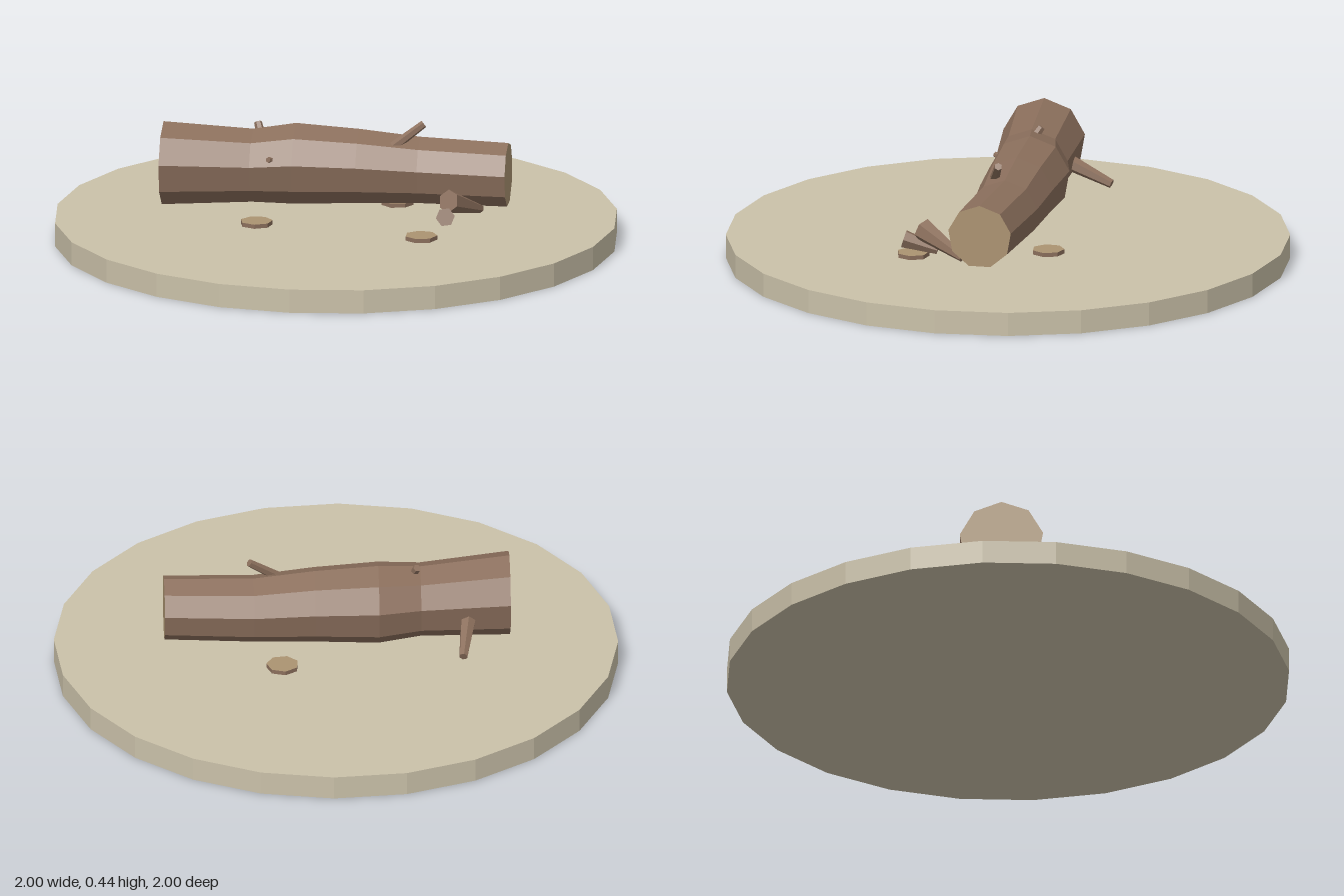
import * as THREE from 'three';

const V = (x, y, z) => new THREE.Vector3(x, y, z);
const SIDES = 9;
// log cross-sections: centre x, y, z and radius
const RINGS = [
  [-0.585, 0.265, 0.19, 0.15],
  [-0.29, 0.259, 0.07, 0.132],
  [-0.155, 0.264, 0.0, 0.146],
  [0.06, 0.261, -0.07, 0.134],
  [0.265, 0.252, -0.14, 0.12],
  [0.573, 0.25, -0.215, 0.115],
];
const ACROSS = V(0.3, 0, 0.954); // horizontal direction across the log

function ringPoint(i, k) {
  const [x, y, z, r] = RINGS[i];
  const a = Math.PI / 2 - (k * 2 * Math.PI) / SIDES;
  return V(x, y, z).addScaledVector(ACROSS, r * Math.cos(a)).add(V(0, r * Math.sin(a), 0));
}

// unshared corners give flat faces
function facets(points) {
  const geometry = new THREE.BufferGeometry().setFromPoints(points);
  geometry.computeVertexNormals();
  return geometry;
}

function flatCylinder(rTop, rBottom, height, sides) {
  const indexed = new THREE.CylinderGeometry(rTop, rBottom, height, sides);
  const geometry = indexed.toNonIndexed();
  geometry.computeVertexNormals();
  return geometry;
}

export function createModel() {
  const model = new THREE.Group();
  const material = (name, color) => {
    const m = new THREE.MeshStandardMaterial({ color });
    m.name = name;
    return m;
  };
  const sand = material('sand', 0xcac1a9);
  const bark = material('bark', 0x8b6f5c);
  const cutWood = material('cut wood', 0xab9371);

  const add = (name, geometry, mat) => {
    const mesh = new THREE.Mesh(geometry, mat);
    mesh.name = name;
    model.add(mesh);
    return mesh;
  };

  // round ground base
  add('groundBase', flatCylinder(1, 1, 0.085, 24), sand).position.y = 0.0425;

  // bent log and its two cut ends
  const skin = [];
  const leftCut = [];
  const rightCut = [];
  const last = RINGS.length - 1;
  const centre = (i) => V(RINGS[i][0], RINGS[i][1], RINGS[i][2]);
  for (let k = 0; k < SIDES; k++) {
    for (let i = 0; i < last; i++) {
      const a = ringPoint(i, k), b = ringPoint(i, k + 1);
      const c = ringPoint(i + 1, k + 1), d = ringPoint(i + 1, k);
      skin.push(a, b, c, a, c, d);
    }
    leftCut.push(centre(0), ringPoint(0, k + 1), ringPoint(0, k));
    rightCut.push(centre(last), ringPoint(last, k), ringPoint(last, k + 1));
  }
  add('logBark', facets(skin), bark);
  add('logThickEnd', facets(leftCut), cutWood);
  add('logThinEnd', facets(rightCut), cutWood);

  // tapered branch between two points
  const branch = (name, from, to, r0, r1) => {
    const dir = to.clone().sub(from);
    const mesh = add(name, flatCylinder(r1, r0, dir.length(), 6), bark);
    mesh.position.copy(from).add(to).multiplyScalar(0.5);
    mesh.quaternion.setFromUnitVectors(V(0, 1, 0), dir.normalize());
  };
  branch('upperBranch', V(0.12, 0.28, 0.0), V(0.285, 0.425, -0.125), 0.022, 0.014);
  branch('topStub', V(-0.25, 0.33, 0.07), V(-0.29, 0.405, 0.03), 0.02, 0.014);
  branch('frontKnot', V(-0.17, 0.29, 0.06), V(-0.19, 0.31, 0.163), 0.014, 0.01);
  branch('backBranch', V(-0.47, 0.25, 0.08), V(-0.505, 0.165, -0.132), 0.034, 0.016);
  branch('looseBranch', V(0.512, 0.143, -0.11), V(0.472, 0.212, 0.075), 0.015, 0.042);
  branch('looseTwig', V(0.445, 0.135, 0.03), V(0.49, 0.172, 0.142), 0.016, 0.034);

  // wood chips lying on the ground
  for (const [x, z, turn] of [[-0.21, 0.22, 0.3], [0.13, -0.24, 0.9], [0.402, 0.156, 0.1]]) {
    const sides = 7;
    const geometry = flatCylinder(0.058, 0.058, 0.018, sides);
    geometry.clearGroups();
    geometry.addGroup(0, sides * 6, 0);
    geometry.addGroup(sides * 6, sides * 6, 1);
    const chip = add('woodChip', geometry, [bark, cutWood]);
    chip.position.set(x, 0.091, z);
    chip.rotation.y = turn;
  }
  return model;
}
